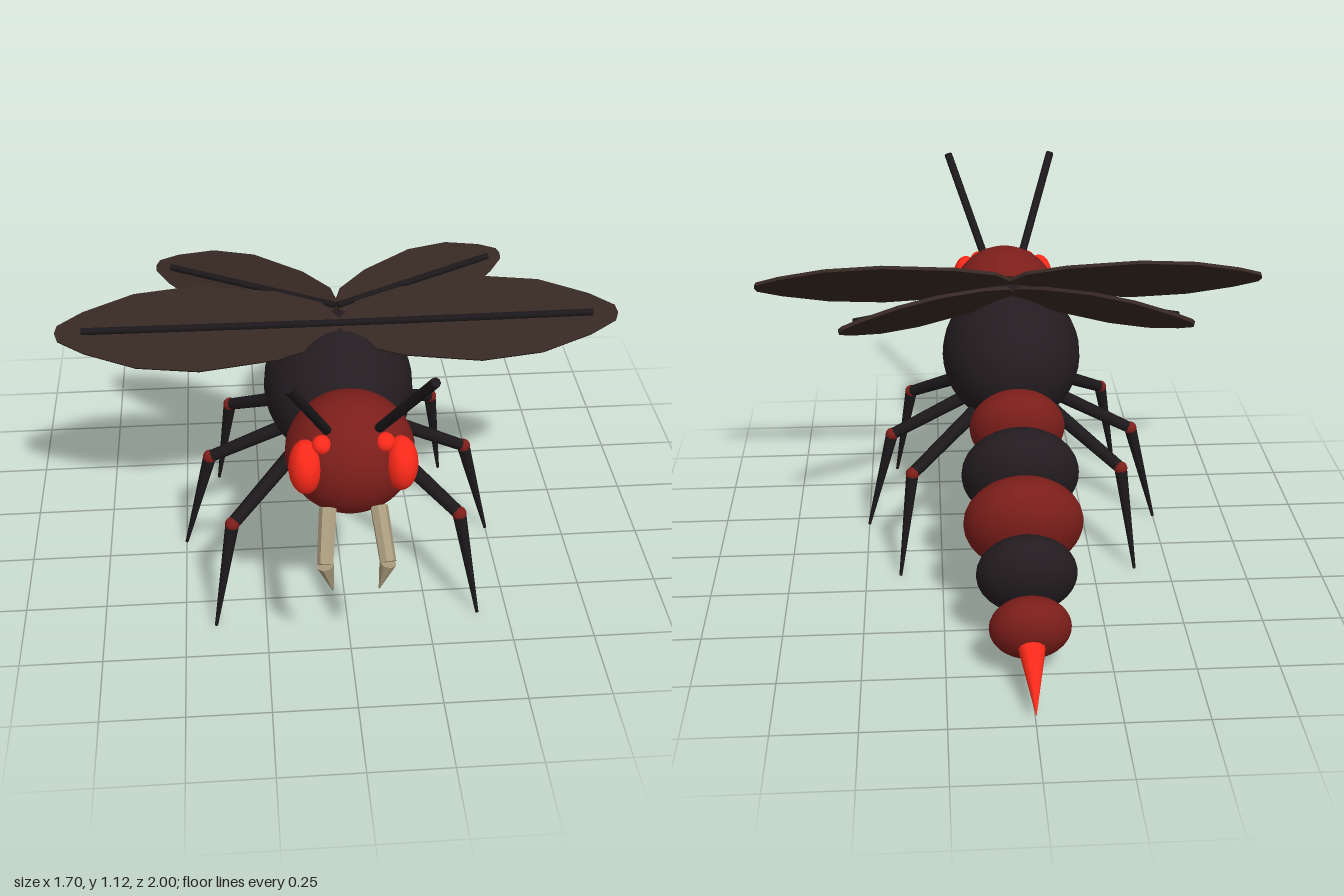
import * as THREE from 'three';

const paint = (color, extra = {}) => {
  const m = new THREE.MeshStandardMaterial(extra);
  m.color.set(color);
  return m;
};
const black = paint(0x231c20);
const red = paint(0x7c1e1a);
const brightRed = paint(0xff2a1a);
const limb = paint(0x1c181b);
const wingBrown = paint(0x352721, { side: THREE.DoubleSide });
const horn = paint(0xa89a7c, { flatShading: true });

export function createModel() {
  const model = new THREE.Group();
  model.name = 'insect';

  const add = (name, geometry, material, parent = model) => {
    const mesh = new THREE.Mesh(geometry, material);
    mesh.name = name;
    parent.add(mesh);
    return mesh;
  };
  const ellipsoid = (name, material, radii, pos, parent = model) => {
    const mesh = add(name, new THREE.SphereGeometry(1, 32, 20), material, parent);
    mesh.scale.set(...radii);
    mesh.position.set(...pos);
    return mesh;
  };
  // tapered rod running from point a to point b
  const rod = (name, material, a, b, ra, rb, sides = 8, parent = model) => {
    const from = new THREE.Vector3(...a);
    const dir = new THREE.Vector3(...b).sub(from);
    const mesh = add(name, new THREE.CylinderGeometry(rb, ra, dir.length(), sides), material, parent);
    mesh.position.copy(from).addScaledVector(dir, 0.5);
    mesh.quaternion.setFromUnitVectors(new THREE.Vector3(0, 1, 0), dir.normalize());
    return mesh;
  };

  // body
  ellipsoid('thorax', black, [0.231, 0.231, 0.28], [0, 0.626, 0.228]);
  ellipsoid('head', red, [0.187, 0.18, 0.176], [0, 0.67, 0.658]);

  // abdomen: flattened segments along a line sloping down to the rear
  const abdomen = new THREE.Group();
  abdomen.name = 'abdomen';
  model.add(abdomen);
  [0.153, 0.185, 0.185, 0.153, 0.122].forEach((r, i) => {
    const pos = [0, 0.506 - 0.0865 * i, -0.107 - 0.159 * i];
    const segment = ellipsoid('abdomenSegment', i % 2 ? black : red, [r, r, r * 0.67], pos, abdomen);
    segment.rotation.x = -0.5;
  });
  rod('stinger', brightRed, [0, 0.135, -0.81], [0, 0.03, -1], 0.041, 0, 12, abdomen);

  // wing outline: distance along the wing and half width, as fractions
  const outline = [[0, 0.12], [0.06, 0.5], [0.22, 0.8], [0.5, 1], [0.72, 0.86], [0.9, 0.48], [0.99, 0.18], [1, 0]];
  const wing = (name, s, length, halfWidth, rootZ, sweep) => {
    const group = new THREE.Group();
    group.name = name;
    const edge = (k) => outline.map(([t, w]) => new THREE.Vector2(s * t * length, k * w * halfWidth));
    const shape = new THREE.Shape([...edge(1), ...edge(-1).reverse().slice(1)]);
    const blade = new THREE.ExtrudeGeometry(shape, { depth: 0.012, bevelEnabled: false });
    add('wingBlade', blade.translate(0, 0, -0.006), wingBrown, group);
    rod('wingVein', limb, [0, 0, 0.008], [s * length * 0.905, 0, 0.02], 0.011, 0.011, 6, group);
    group.rotation.set(-Math.PI / 4, s * sweep, 0, 'YXZ');
    group.position.set(0, 0.864, rootZ);
    model.add(group);
  };

  // leg points: hip, knee, foot
  const legs = {
    front: [[0.11, 0.505, 0.352], [0.345, 0.345, 0.555], [0.407, 0, 0.615]],
    middle: [[0.1, 0.5, 0.225], [0.41, 0.345, 0.2], [0.5, 0, 0.195]],
    rear: [[0.1, 0.5, 0.1], [0.34, 0.345, -0.1], [0.388, 0, -0.16]],
  };

  for (const s of [1, -1]) {
    const side = s > 0 ? 'left' : 'right';
    const m = ([x, y, z]) => [s * x, y, z];

    wing(side + 'ForeWing', s, 0.85, 0.132, 0.27, 0);
    wing(side + 'HindWing', s, 0.63, 0.102, 0.165, 0.5);

    for (const [which, points] of Object.entries(legs)) {
      const leg = new THREE.Group();
      leg.name = side + which[0].toUpperCase() + which.slice(1) + 'Leg';
      model.add(leg);
      const [hip, knee, foot] = points.map(m);
      rod('upperLeg', limb, hip, knee, 0.025, 0.02, 8, leg);
      ellipsoid('knee', red, [0.022, 0.022, 0.022], knee, leg);
      rod('lowerLeg', limb, knee, foot, 0.021, 0.005, 8, leg);
    }

    // head parts
    ellipsoid(side + 'Eye', brightRed, [0.048, 0.082, 0.064], m([0.134, 0.7, 0.768]));
    ellipsoid(side + 'SmallEye', brightRed, [0.028, 0.028, 0.028], m([0.088, 0.772, 0.768]));
    rod(side + 'Antenna', limb, m([0.066, 0.79, 0.735]), m([0.188, 1.105, 0.988]), 0.014, 0.014);
    const joint = m([0.088, 0.452, 0.897]);
    rod(side + 'UpperMandible', horn, m([0.072, 0.565, 0.785]), joint, 0.026, 0.024, 7);
    rod(side + 'MandibleTip', horn, joint, m([0.066, 0.353, 0.89]), 0.025, 0.002, 7);
  }
  return model;
}
